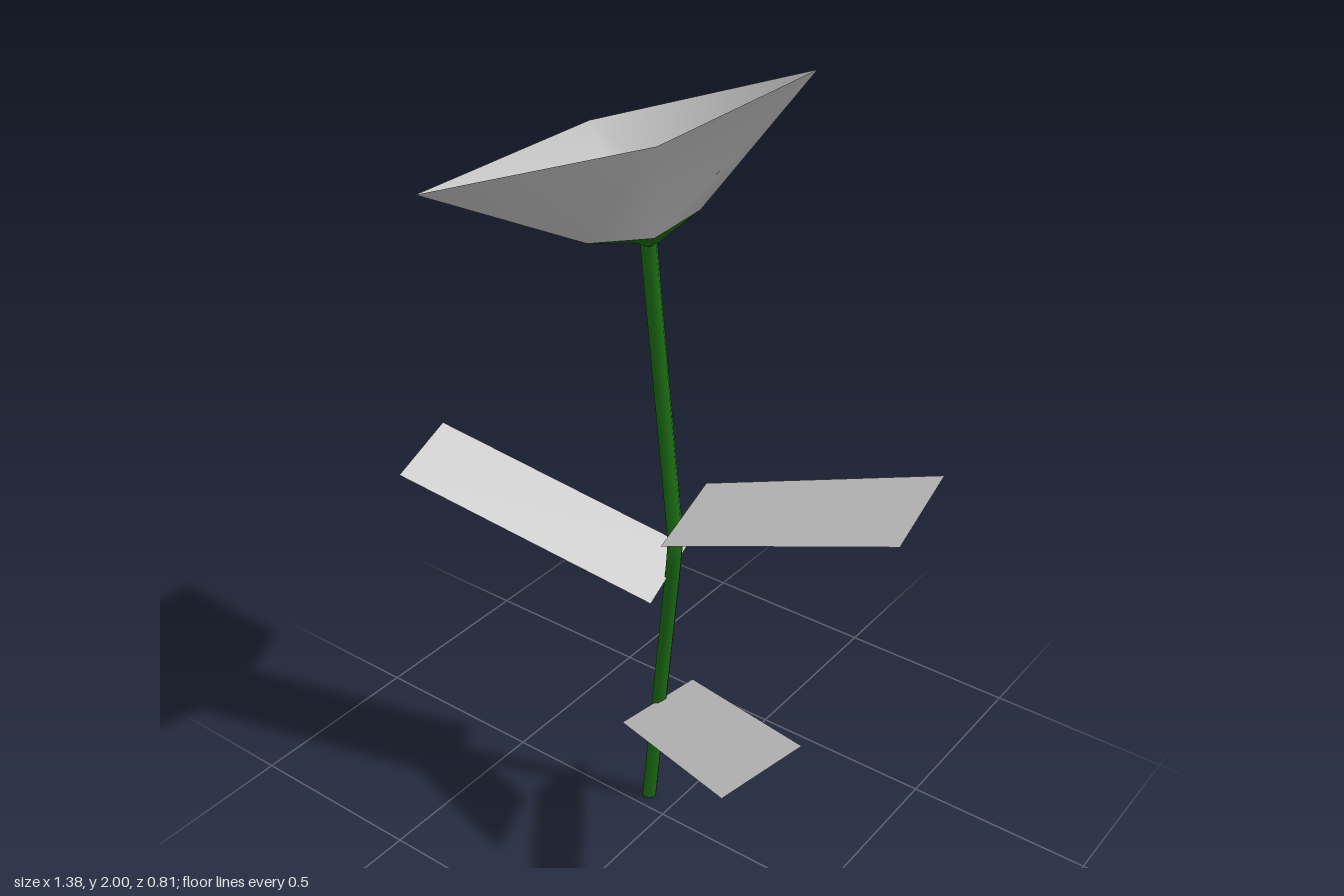
import * as THREE from 'three';

const green = new THREE.MeshStandardMaterial({ color: 0x1c6e14, side: THREE.DoubleSide });
const grey = new THREE.MeshStandardMaterial({ color: 0xcccccc, side: THREE.DoubleSide });

// Smooth skin through rings of equal length, closed at the first ring
function loft(rings) {
  const n = rings[0].length;
  const index = [];
  for (let i = 0; i < rings.length - 1; i++) {
    for (let j = 0; j < n; j++) {
      const k = (j + 1) % n;
      const a = i * n + j, b = i * n + k, c = a + n, d = b + n;
      index.push(a, c, b, b, c, d);
    }
  }
  for (let j = 1; j < n - 1; j++) index.push(0, j, j + 1);
  const geometry = new THREE.BufferGeometry();
  geometry.setAttribute('position', new THREE.Float32BufferAttribute(rings.flat(2), 3));
  geometry.setIndex(index);
  geometry.computeVertexNormals();
  return geometry;
}

// Level ring of points around the stem axis
function ring(x, y, z, radius, sides, start = 0) {
  return Array.from({ length: sides }, (_, i) => {
    const t = start + (i / sides) * Math.PI * 2;
    return [x + radius * Math.cos(t), y, z + radius * Math.sin(t)];
  });
}

// Flat four-cornered blade
function blade(corners) {
  const geometry = new THREE.BufferGeometry();
  geometry.setAttribute('position', new THREE.Float32BufferAttribute(corners.flat(), 3));
  geometry.setIndex([0, 1, 2, 0, 2, 3]);
  geometry.computeVertexNormals();
  return geometry;
}

export function createModel() {
  const group = new THREE.Group();
  const add = (name, geometry, material) => {
    const mesh = new THREE.Mesh(geometry, material);
    mesh.name = name;
    group.add(mesh);
  };
  const axisZ = -0.046;

  // Stem, bent near the middle
  const path = [[-0.08, 0], [0, 0.8], [0.005, 0.87], [-0.075, 1.65]];
  add('stem', loft(path.map(([x, y]) => ring(x, y, axisZ, 0.021, 6))), green);

  // Tilted square where the flower sits
  const base = [[0, 1.7, -0.142], [0.015, 1.7, 0.05], [-0.165, 1.645, 0.06], [-0.18, 1.638, -0.13]];
  const rim = [[0.125, 1.975, -0.408], [0.173, 2, 0.25], [-0.442, 1.772, 0.305], [-0.49, 1.745, -0.355]];

  // Calyx flaring from the stem to the square
  add('calyx', loft([ring(-0.075, 1.635, axisZ, 0.028, 4, -Math.PI / 4), base]), green);

  // Open flower cup
  add('flower', loft([base, rim]), grey);

  // Leaves, each from its two stem corners to its two tip corners
  const leaves = {
    upperLeaf: [[0.008, 0.972, -0.17], [0.025, 0.903, 0.04], [0.685, 1.185, 0.083], [0.67, 1.255, -0.125]],
    middleLeaf: [[-0.035, 0.78, -0.15], [0.012, 0.742, 0.065], [-0.643, 0.96, 0.243], [-0.69, 1, 0.03]],
    lowerLeaf: [[-0.002, 0.377, -0.135], [-0.09, 0.312, 0.055], [0.465, 0.597, 0.403], [0.55, 0.662, 0.212]],
  };
  for (const [name, corners] of Object.entries(leaves)) add(name, blade(corners), grey);

  return group;
}
